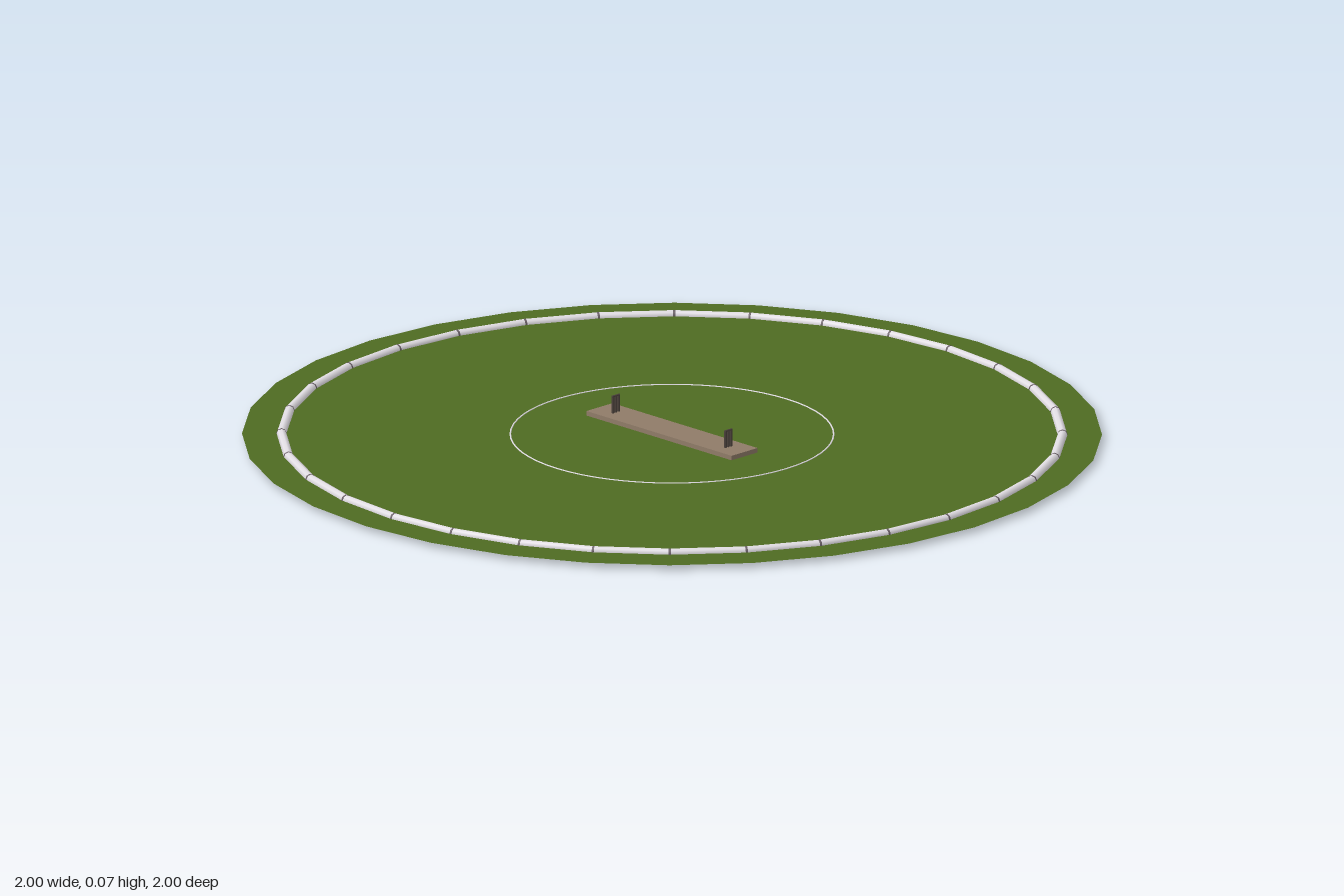
import * as THREE from 'three';

const mat = (name, color, side = THREE.FrontSide) => {
  const m = new THREE.MeshStandardMaterial({ color, side });
  m.name = name;
  return m;
};

export function createModel() {
  const grass = mat('grass green', 0x4f6b22, THREE.DoubleSide);
  const clay = mat('pitch clay', 0x8f7b68);
  const white = mat('rope white', 0xe2dee4);
  const joint = mat('joint grey', 0x6b6068);
  const wood = mat('stump wood', 0x4c423c);

  const model = new THREE.Group();
  model.name = 'sportsGround';
  const add = (parent, name, geometry, material, x = 0, y = 0, z = 0) => {
    const mesh = new THREE.Mesh(geometry, material);
    mesh.name = name;
    mesh.position.set(x, y, z);
    parent.add(mesh);
    return mesh;
  };
  const LEVEL = 0.012; // height of the grass plane
  const SIDES = 32;

  // Thin round field
  add(model, 'field', new THREE.CircleGeometry(1, SIDES).rotateX(-Math.PI / 2), grass, 0, LEVEL);

  // Boundary rope: straight padded lengths with narrow joints between them
  const rope = new THREE.Group();
  rope.name = 'boundaryRope';
  model.add(rope);
  const R = 0.908;
  const step = (Math.PI * 2) / SIDES;
  const chord = 2 * R * Math.sin(step / 2);
  const segment = new THREE.CylinderGeometry(0.0115, 0.0115, chord - 0.003, 8).rotateX(Math.PI / 2);
  const collar = new THREE.CylinderGeometry(0.012, 0.012, 0.005, 8).rotateX(Math.PI / 2);
  for (let i = 0; i < SIDES; i++) {
    const a = i * step;
    const mid = a + step / 2;
    const r = R * Math.cos(step / 2);
    add(rope, 'ropeSegment', segment, white, r * Math.cos(mid), LEVEL, r * Math.sin(mid)).rotation.y = -mid;
    add(rope, 'ropeJoint', collar, joint, R * Math.cos(a), LEVEL, R * Math.sin(a)).rotation.y = -a;
  }

  // Inner circle line
  add(model, 'innerCircle', new THREE.TorusGeometry(0.376, 0.002, 6, 64).rotateX(Math.PI / 2), white, 0, LEVEL);

  // Pitch strip
  add(model, 'pitch', new THREE.BoxGeometry(0.48, 0.022, 0.085), clay, 0, LEVEL);

  // Two wickets, each three stumps with a bail across the top
  const stump = new THREE.CylinderGeometry(0.003, 0.003, 0.044, 8);
  const bail = new THREE.CylinderGeometry(0.0025, 0.0025, 0.024, 8).rotateX(Math.PI / 2);
  for (const side of [-1, 1]) {
    const wicket = new THREE.Group();
    wicket.name = side > 0 ? 'leftWicket' : 'rightWicket';
    wicket.position.x = side * 0.186;
    model.add(wicket);
    for (const z of [-0.009, 0, 0.009]) add(wicket, 'stump', stump, wood, 0, 0.042, z);
    add(wicket, 'bail', bail, wood, 0, 0.0635, 0);
  }

  return model;
}
